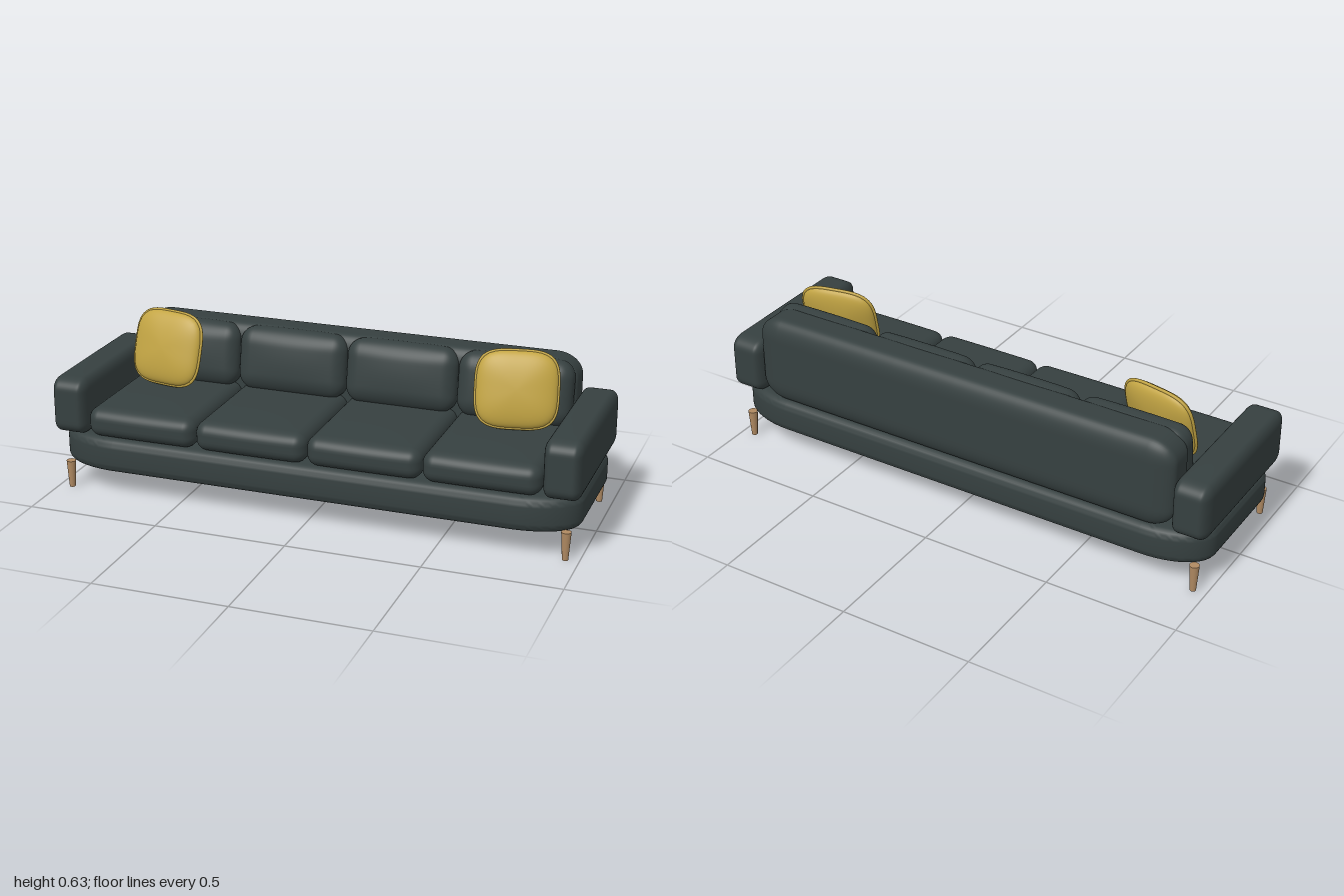
import * as THREE from 'three';
import { mergeVertices, toCreasedNormals } from 'three/addons/utils/BufferGeometryUtils.js';

const material = (name, color) => {
  const m = new THREE.MeshStandardMaterial({ color });
  m.name = name;
  return m;
};

// Weld the seams so the surface shades smoothly
function smooth(geo) {
  geo.deleteAttribute('uv');
  geo.deleteAttribute('normal');
  const welded = mergeVertices(geo, 1e-5);
  welded.computeVertexNormals();
  return welded;
}

// Upholstered block: size, corner radius per axis, and bulge of the faces per axis
function softBox(size, radius, bulge = [0, 0, 0]) {
  const geo = new THREE.BoxGeometry(2, 2, 2, 24, 24, 24);
  const pos = geo.attributes.position;
  for (let i = 0; i < pos.count; i++) {
    const u = [pos.getX(i), pos.getY(i), pos.getZ(i)];
    const inner = [], delta = new THREE.Vector3();
    u.forEach((c, k) => {
      const flat = size[k] / 2 - radius[k], a = Math.abs(c);
      // the outer half of the grid is spent on the rounded corner
      inner[k] = Math.sign(c) * flat * Math.min(a * 2, 1);
      delta.setComponent(k, Math.sign(c) * Math.max(a * 2 - 1, 0));
    });
    delta.normalize();
    const p = inner.map((c, k) => c + delta.getComponent(k) * radius[k]);
    const n = p.map((c, k) => Math.min(1, Math.abs(c) / (size[k] / 2)));
    const out = p.map((c, k) => {
      const [a, b] = [0, 1, 2].filter((j) => j !== k);
      return c + Math.sign(c) * n[k] * bulge[k] * (1 - n[a] ** 2) * (1 - n[b] ** 2);
    });
    pos.setXYZ(i, ...out);
  }
  return smooth(geo);
}

// Plinth with wide elliptical corners in plan and a rounded rim
function plinthGeometry(w, h, d, rx, rz, rim) {
  const x = w / 2 - rim, z = d / 2 - rim;
  const s = new THREE.Shape();
  s.moveTo(x, -z + rz);
  s.lineTo(x, z - rz);
  s.absellipse(x - rx, z - rz, rx, rz, 0, Math.PI / 2);
  s.absellipse(-x + rx, z - rz, rx, rz, Math.PI / 2, Math.PI);
  s.absellipse(-x + rx, -z + rz, rx, rz, Math.PI, Math.PI * 1.5);
  s.absellipse(x - rx, -z + rz, rx, rz, Math.PI * 1.5, Math.PI * 2);
  const geo = new THREE.ExtrudeGeometry(s, {
    depth: h - rim * 2, bevelSize: rim, bevelThickness: rim, bevelSegments: 6, curveSegments: 12,
  });
  geo.rotateX(-Math.PI / 2);
  geo.center();
  return toCreasedNormals(geo, 0.6);
}

// Rounded-square outline: distance from the centre at an angle
const squircle = (a, n = 3.6) =>
  (Math.abs(Math.cos(a)) ** n + Math.abs(Math.sin(a)) ** n) ** (-1 / n);

function pillowGeometry(hw, hh, ht) {
  const geo = new THREE.SphereGeometry(1, 48, 32).rotateX(Math.PI / 2);
  const pos = geo.attributes.position;
  for (let i = 0; i < pos.count; i++) {
    const x = pos.getX(i), y = pos.getY(i), z = pos.getZ(i);
    const s = squircle(Math.atan2(y, x));
    pos.setXYZ(i, x * s * hw, y * s * hh, Math.sign(z) * Math.abs(z) ** 0.9 * ht);
  }
  return smooth(geo);
}

function pipingGeometry(hw, hh, r) {
  const pts = [];
  for (let i = 0; i < 48; i++) {
    const a = (i / 48) * Math.PI * 2, s = squircle(a);
    pts.push(new THREE.Vector3(Math.cos(a) * s * hw, Math.sin(a) * s * hh, 0));
  }
  return new THREE.TubeGeometry(new THREE.CatmullRomCurve3(pts, true), 96, r, 8, true);
}

export function createModel() {
  const sofa = new THREE.Group();
  sofa.name = 'sofa';
  const fabric = material('charcoal fabric', 0x364040);
  const mustard = material('mustard fabric', 0xc2a443);
  const wood = material('light wood', 0xb08a62);

  const add = (name, geo, mat, x, y, z, parent = sofa) => {
    const mesh = new THREE.Mesh(geo, mat);
    mesh.name = name;
    mesh.position.set(x, y, z);
    parent.add(mesh);
    return mesh;
  };

  // Base and backrest
  add('base', plinthGeometry(1.98, 0.132, 0.638, 0.2, 0.1, 0.035), fabric, 0, 0.16, 0);
  add('backrest', softBox([1.73, 0.342, 0.16], [0.1, 0.08, 0.045]), fabric, 0, 0.394, -0.239);

  // Seat and back cushions, four across
  const seat = softBox([0.428, 0.112, 0.51], [0.045, 0.042, 0.05], [0, 0.005, 0.004]);
  const back = softBox([0.426, 0.235, 0.11], [0.055, 0.06, 0.045], [0, 0.006, 0.012]);
  for (let i = 0; i < 4; i++) {
    const x = (i - 1.5) * 0.43;
    add('seatCushion', seat, fabric, x, 0.28, 0.057);
    add('backCushion', back, fabric, x, 0.445, -0.16).rotation.x = -0.16;
  }

  // Arms, legs and throw pillows on both sides
  const arm = softBox([0.138, 0.215, 0.638], [0.03, 0.045, 0.06], [0, 0.003, 0]);
  const leg = new THREE.CylinderGeometry(0.018, 0.011, 0.105, 20);
  const pillow = pillowGeometry(0.146, 0.138, 0.044);
  const piping = pipingGeometry(0.147, 0.139, 0.006);
  for (const side of [1, -1]) {
    add('arm', arm, fabric, side * 0.931, 0.332, 0);
    for (const z of [0.272, -0.272]) add('leg', leg, wood, side * 0.95, 0.0525, z);

    const group = new THREE.Group();
    group.name = 'throwPillow';
    group.position.set(side * 0.68, 0.486, -0.036);
    group.rotation.set(-0.27, side * 0.2, 0, 'YXZ');
    add('pillowBody', pillow, mustard, 0, 0, 0, group);
    add('pillowPiping', piping, mustard, 0, 0, 0, group);
    sofa.add(group);
  }
  return sofa;
}
